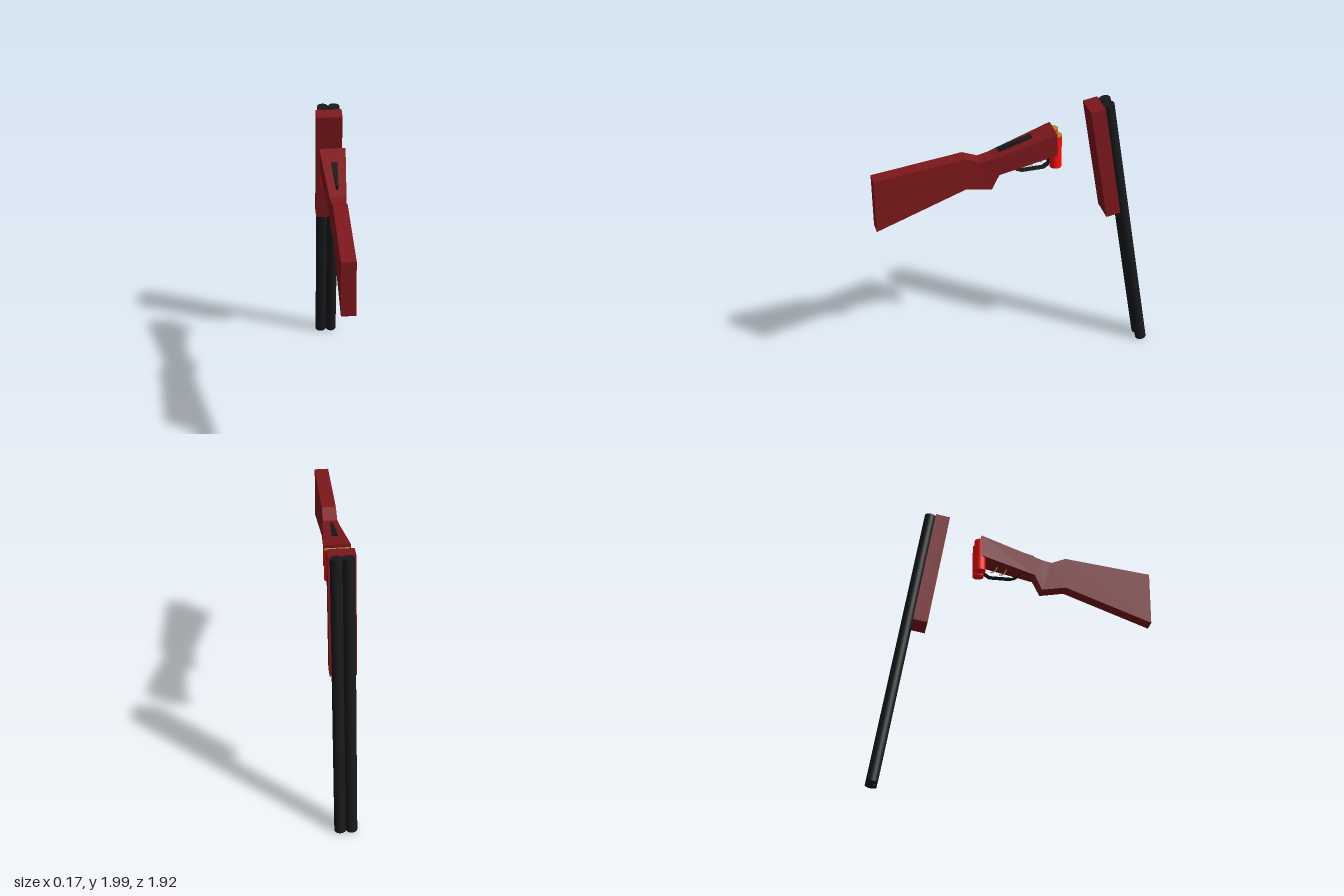
import * as THREE from 'three';

const material = (color, flatShading = false, side = THREE.FrontSide) =>
  new THREE.MeshStandardMaterial({ color, flatShading, side });

const wood = material(0x7f181d, true);
const steel = material(0x17191b);
const steelFlat = material(0x17191b, true, THREE.DoubleSide);
const brass = material(0xa88d20);
const shellRed = material(0xff0c0c);

function add(parent, name, geometry, mat, x = 0, y = 0, z = 0) {
  const mesh = new THREE.Mesh(geometry, mat);
  mesh.name = name;
  mesh.position.set(x, y, z);
  parent.add(mesh);
  return mesh;
}

// Closed four-sided loft; each section is [zTop, yTop, zBottom, yBottom, halfWidth], front to back
function loft(sections) {
  const positions = [], index = [];
  for (const [zt, yt, zb, yb, w] of sections) {
    positions.push(-w, yt, zt, w, yt, zt, w, yb, zb, -w, yb, zb);
  }
  for (let s = 0; s < sections.length - 1; s++) {
    for (let i = 0; i < 4; i++) {
      const a = s * 4 + i, b = s * 4 + (i + 1) % 4;
      index.push(a, b, b + 4, a, b + 4, a + 4);
    }
  }
  const e = (sections.length - 1) * 4;
  index.push(0, 3, 2, 0, 2, 1, e, e + 1, e + 2, e, e + 2, e + 3);
  const geometry = new THREE.BufferGeometry();
  geometry.setAttribute('position', new THREE.Float32BufferAttribute(positions, 3));
  geometry.setIndex(index);
  const flat = geometry.toNonIndexed();
  flat.computeVertexNormals();
  return flat;
}

// Thin strip of constant width following [z, y] points
function ribbon(points, width) {
  const geometry = new THREE.PlaneGeometry(width, 1, 1, points.length - 1);
  const p = geometry.attributes.position;
  for (let i = 0; i < p.count; i++) {
    const [z, y] = points[Math.floor(i / 2)];
    p.setXYZ(i, p.getX(i), y, z);
  }
  geometry.computeVertexNormals();
  return geometry;
}

export function createModel() {
  const model = new THREE.Group();
  model.name = 'breakOpenGun';

  // Butt, grip and receiver in one tapered body
  add(model, 'stock', loft([
    [0.96, 1.672, 0.96, 1.295, 0.047],
    [0.36, 1.742, 0.36, 1.515, 0.047],
    [0.26, 1.70, 0.19, 1.483, 0.048],
    [0.19, 1.712, 0.14, 1.59, 0.055],
    [-0.24, 1.848, -0.24, 1.692, 0.087],
  ]), wood);

  // Opening lever on top of the receiver
  add(model, 'topLever', loft([
    [0.145, 1.765, 0.128, 1.733, 0.007],
    [-0.09, 1.822, -0.09, 1.811, 0.02],
  ]), steelFlat);

  // Trigger guard strip
  add(model, 'triggerGuard', ribbon([
    [0.05, 1.62], [0.02, 1.585], [-0.02, 1.568], [-0.17, 1.568], [-0.205, 1.59], [-0.22, 1.69],
  ], 0.05), steelFlat);

  // Two curved triggers
  for (const [dz, dy] of [[0, 0], [-0.065, 0.015]]) {
    const curve = new THREE.CatmullRomCurve3([
      [-0.045, 1.66], [-0.055, 1.63], [-0.07, 1.606], [-0.1, 1.594],
    ].map(([z, y]) => new THREE.Vector3(0, y + dy, z + dz)));
    add(model, 'trigger', new THREE.TubeGeometry(curve, 10, 0.004, 6), brass);
  }

  // Separate barrel assembly, leaning with its muzzles down
  const barrels = new THREE.Group();
  barrels.name = 'barrelAssembly';
  barrels.position.set(0, 1.003, -0.757);
  barrels.rotation.x = 0.162;
  model.add(barrels);
  add(barrels, 'foreEnd', new THREE.BoxGeometry(0.174, 0.834, 0.1), wood, 0, 0.585, 0.084);

  for (const side of [-1, 1]) {
    add(barrels, 'barrel', new THREE.CylinderGeometry(0.0385, 0.0385, 2.005, 24), steel, side * 0.0385);

    // Cartridge with a brass base facing up
    const x = side * 0.043;
    add(model, 'cartridge', new THREE.CylinderGeometry(0.039, 0.039, 0.232, 24), shellRed, x, 1.706, -0.243);
    add(model, 'cartridgeBase', new THREE.CylinderGeometry(0.039, 0.039, 0.003, 24), brass, x, 1.8235, -0.243);
  }

  return model;
}
